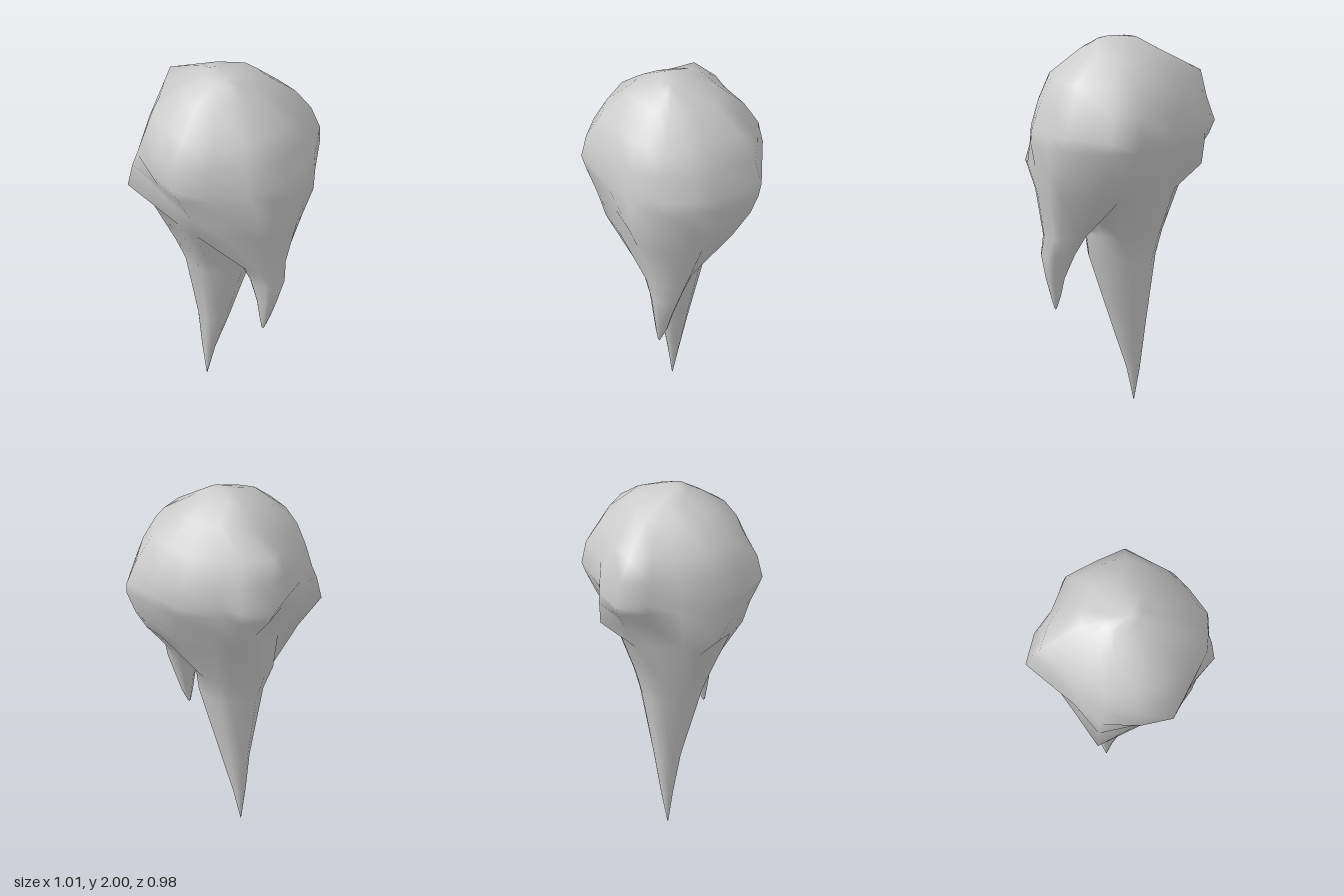
import * as THREE from 'three';

// Lumpy plan outline of the head, [x, z], running from left to front to right to back
const OUTLINE = [
  [0.51, 0.02], [0.46, 0.14], [0.41, 0.225], [0.25, 0.355], [0.08, 0.49], [-0.10, 0.45],
  [-0.31, 0.37], [-0.37, 0.19], [-0.44, 0.03], [-0.51, -0.13], [-0.39, -0.27],
  [-0.28, -0.31], [-0.12, -0.47], [0.08, -0.48], [0.27, -0.49], [0.44, -0.26], [0.48, -0.14],
];

// Head rings from top to bottom: [y, minX, maxX, minZ, maxZ, lumpiness, moved corners {index: [x, z]}]
const HEAD = [
  [1.985, -0.11, 0.12, -0.07, 0.08, 0.3],
  [1.92, -0.22, 0.21, -0.25, 0.24, 0.4],
  [1.79, -0.39, 0.385, -0.385, 0.385, 0.6, { 8: [-0.39, 0.03], 9: [-0.45, -0.08], 10: [-0.34, -0.20] }],
  [1.65, -0.47, 0.45, -0.465, 0.465, 0.8, { 6: [-0.265, 0.335], 10: [-0.36, -0.25] }],
  [1.52, -0.51, 0.495, -0.49, 0.49, 1, { 6: [-0.30, 0.35] }],
  [1.45, -0.475, 0.505, -0.475, 0.46, 1, { 6: [-0.315, 0.37], 10: [-0.39, -0.27] }],
  [1.32, -0.37, 0.485, -0.44, 0.40, 0.8, {
    1: [0.475, 0.12], 2: [0.448, 0.21], 6: [-0.33, 0.39], 7: [-0.355, 0.20],
    10: [-0.37, -0.27], 14: [0.25, -0.43], 15: [0.43, -0.25],
  }],
  [1.18, -0.325, 0.465, -0.355, 0.355, 0.5, { 6: [-0.28, 0.265] }],
];

// Root rings: [y, minX, maxX, minZ, maxZ]
const MAIN_ROOT = [
  [0.93, -0.25, 0.17, -0.19, 0.23],
  [0.80, -0.21, 0.16, -0.16, 0.175],
  [0.40, -0.155, 0.025, -0.07, 0.07],
  [0.18, -0.13, -0.055, -0.025, 0.038],
  [0.01, -0.102, -0.096, 0.01, 0.016],
];
const SIDE_ROOT = [
  [0.93, 0.19, 0.42, -0.12, 0.14],
  [0.83, 0.24, 0.437, -0.07, 0.105],
  [0.70, 0.295, 0.405, -0.02, 0.085],
  [0.60, 0.315, 0.372, 0.01, 0.072],
  [0.53, 0.332, 0.347, 0.045, 0.06],
];

export function createModel() {
  const pos = [], index = [];
  const addPoint = (x, y, z) => pos.push(x, y, z) / 3 - 1;

  // Band of faces from an upper loop of points to a lower one
  const bridge = (top, low) => top.forEach((a, i) => {
    const j = (i + 1) % top.length;
    index.push(a, top[j], low[i], top[j], low[j], low[i]);
  });

  // Head: stacked rings blending an ellipse into the outline
  const rings = HEAD.map(([y, x0, x1, z0, z1, lump, moved = {}]) => OUTLINE.map(([ox, oz], i) => {
    const a = Math.atan2(oz, ox);
    const u = THREE.MathUtils.lerp(Math.cos(a), ox / 0.51, lump);
    const v = THREE.MathUtils.lerp(Math.sin(a), oz / 0.49, lump);
    const [x, z] = moved[i] ?? [(x0 + x1 + u * (x1 - x0)) / 2, (z0 + z1 + v * (z1 - z0)) / 2];
    return addPoint(x, y, z);
  }));
  for (let r = 1; r < rings.length; r++) bridge(rings[r - 1], rings[r]);

  // Crown
  const apex = addPoint(0.04, 2, 0.02);
  rings[0].forEach((a, i) => index.push(apex, rings[0][(i + 1) % OUTLINE.length], a));

  // Root: elliptical rings continuing a loop of points down to a tip
  const addRoot = (loop, sections) => {
    const mean = (k) => loop.reduce((s, p) => s + pos[p * 3 + k], 0) / loop.length;
    const cx = mean(0), cz = mean(2);
    const angles = loop.map((p) => Math.atan2(pos[p * 3 + 2] - cz, pos[p * 3] - cx));
    let upper = loop;
    for (const [y, x0, x1, z0, z1] of sections) {
      const lower = angles.map((a) => addPoint(
        (x0 + x1 + Math.cos(a) * (x1 - x0)) / 2, y, (z0 + z1 + Math.sin(a) * (z1 - z0)) / 2));
      bridge(upper, lower);
      upper = lower;
    }
    const [y, x0, x1, z0, z1] = sections.at(-1);
    const tip = addPoint((x0 + x1) / 2, y - 0.01, (z0 + z1) / 2);
    upper.forEach((a, i) => index.push(tip, a, upper[(i + 1) % upper.length]));
  };

  // The lowest head ring splits in two along a crotch between the roots
  const rim = rings.at(-1);
  const crotch = [[1.02, 0.15], [0.97, 0.01], [1.02, -0.13]].map(([y, z]) => addPoint(0.175, y, z));
  addRoot([...rim.slice(4, 14), ...crotch.toReversed()], MAIN_ROOT);
  addRoot([...rim.slice(13), ...rim.slice(0, 5), ...crotch], SIDE_ROOT);

  const geometry = new THREE.BufferGeometry();
  geometry.setAttribute('position', new THREE.Float32BufferAttribute(pos, 3));
  geometry.setIndex(index);
  geometry.computeVertexNormals();

  const mesh = new THREE.Mesh(geometry, new THREE.MeshStandardMaterial({ color: 0xcccccc }));
  mesh.name = 'headWithTwoRoots';
  const group = new THREE.Group();
  group.name = 'rootedLump';
  group.add(mesh);
  return group;
}
